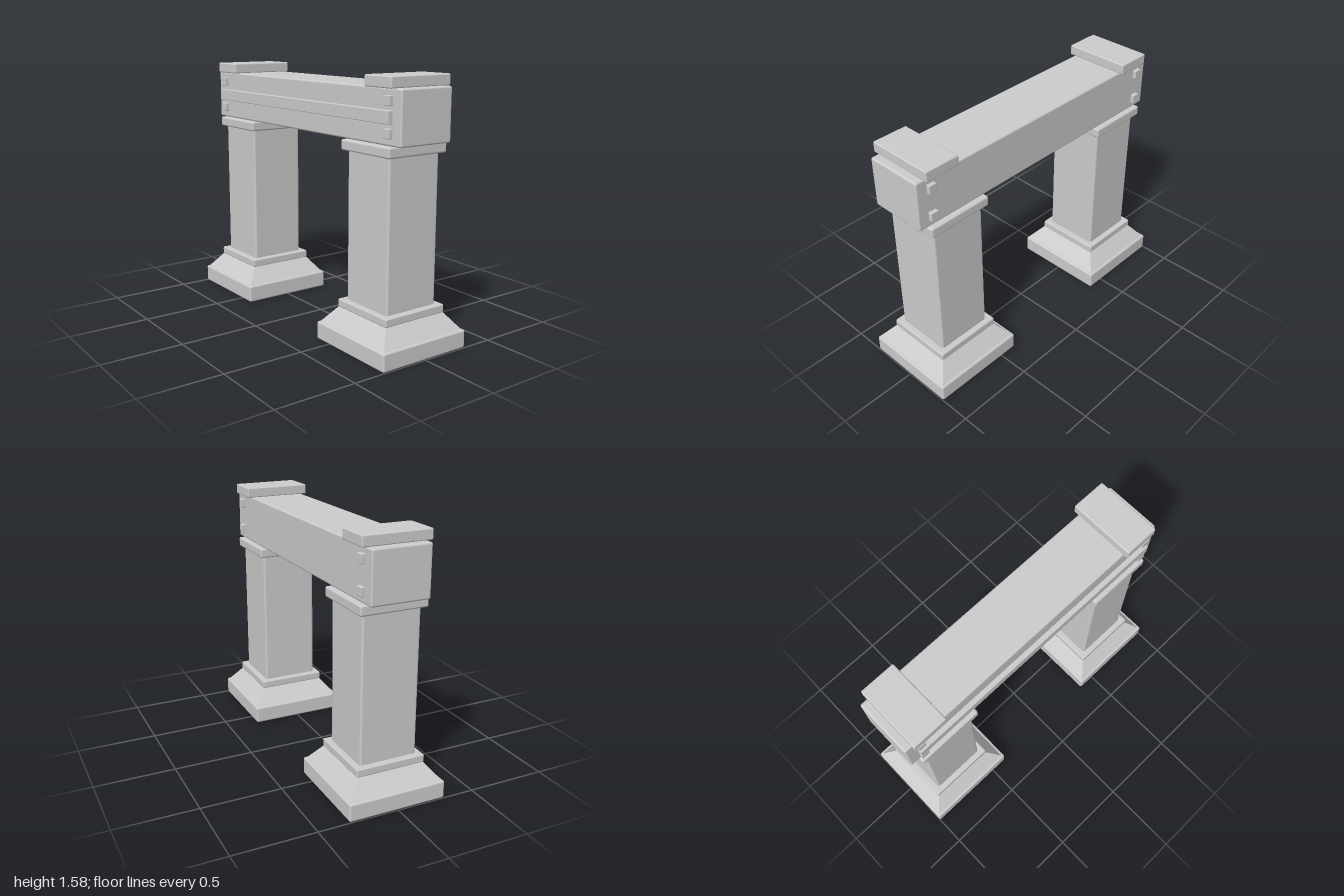
import * as THREE from 'three';
import { RoundedBoxGeometry } from 'three/addons/geometries/RoundedBoxGeometry.js';

const stone = new THREE.MeshStandardMaterial({ color: 0xcccccc });
stone.name = 'stoneGrey';

// Softly bevelled block given by its centre x, bottom and top, width, and back and front z
function block(name, x, y0, y1, width, z0, z1, bevel = 0.012) {
  const geometry = new RoundedBoxGeometry(width, y1 - y0, z1 - z0, 2, bevel);
  const mesh = new THREE.Mesh(geometry, stone);
  mesh.name = name;
  mesh.position.set(x, (y0 + y1) / 2, (z0 + z1) / 2);
  return mesh;
}

// Four-sided sloping base between plinth and collar
function slopedBase(x, y0, y1, halfBottom, halfTop) {
  const r = Math.SQRT2;
  const geometry = new THREE.CylinderGeometry(halfTop * r, halfBottom * r, y1 - y0, 4, 1, true)
    .rotateY(Math.PI / 4).toNonIndexed();
  geometry.computeVertexNormals();
  const mesh = new THREE.Mesh(geometry, stone);
  mesh.name = 'slopedBase';
  mesh.position.set(x, (y0 + y1) / 2, 0);
  return mesh;
}

export function createModel() {
  const model = new THREE.Group();
  model.name = 'stoneGateway';

  for (const side of [-1, 1]) {
    const x = side * 0.692;
    const pillar = new THREE.Group();
    pillar.name = side < 0 ? 'rightPillar' : 'leftPillar';
    pillar.add(
      block('plinth', x, 0, 0.11, 0.615, -0.307, 0.307),
      slopedBase(x, 0.108, 0.212, 0.293, 0.212),
      block('collar', x, 0.208, 0.258, 0.435, -0.218, 0.218, 0.008),
      block('shaft', x, 0.24, 1.16, 0.36, -0.181, 0.181, 0.015),
      block('capital', x, 1.14, 1.203, 0.42, -0.21, 0.21),
      block('topBlock', side * 0.8, 1.51, 1.575, 0.225, -0.212, 0.212, 0.008),
    );
    // Square studs on the front and back of the beam end
    for (const y of [1.272, 1.447]) {
      pillar.add(block('stud', side * 0.866, y - 0.027, y + 0.027, 0.05, -0.205, 0.205, 0.004));
    }
    model.add(pillar);
  }

  // Lintel with a raised band on the front only
  model.add(
    block('beam', 0, 1.203, 1.512, 1.92, -0.181, 0.181, 0.012),
    block('frontBand', 0, 1.323, 1.395, 1.78, 0.15, 0.211, 0.004),
  );
  return model;
}
